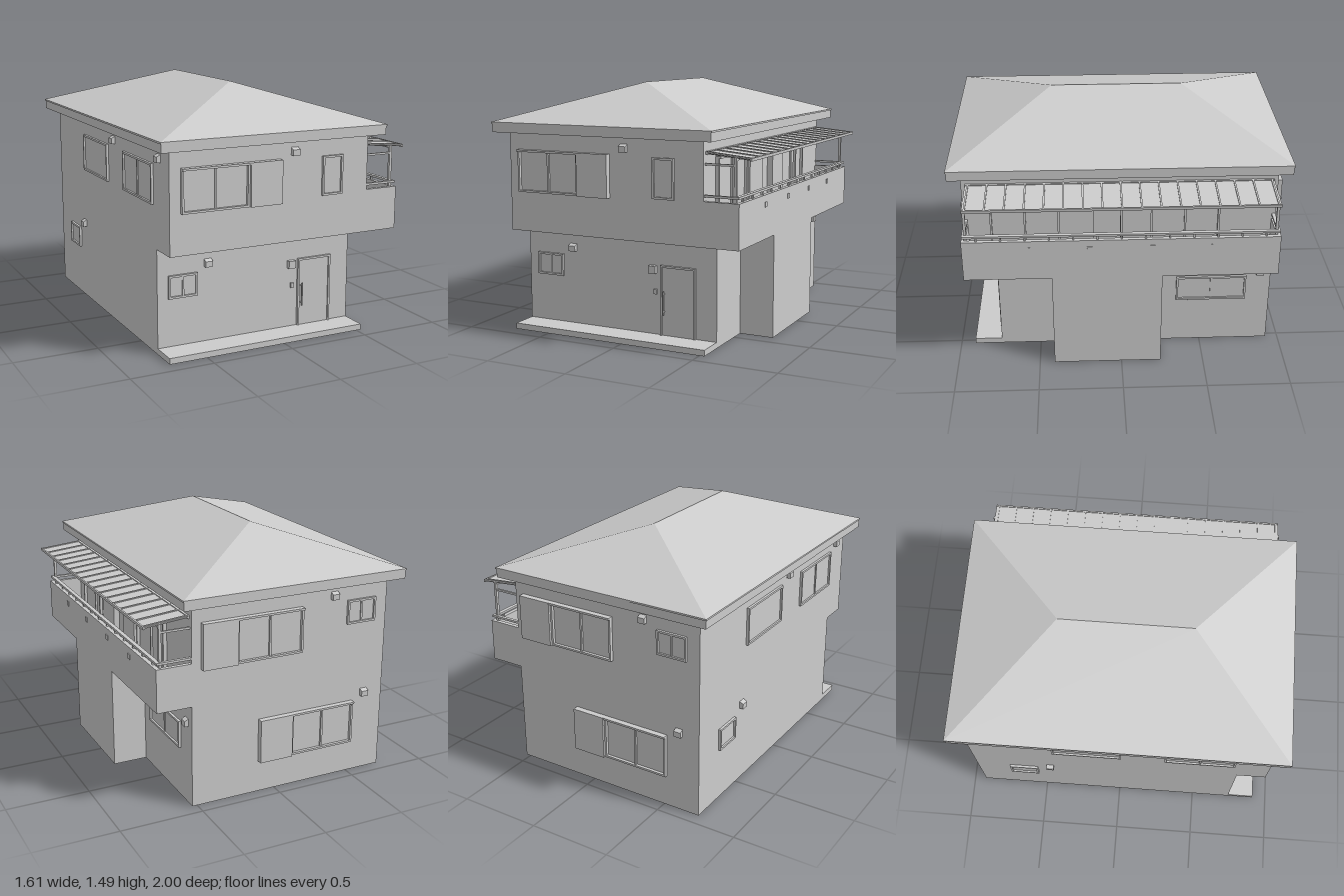
import * as THREE from 'three';

const material = new THREE.MeshStandardMaterial({ color: 0xcccccc, flatShading: true, side: THREE.DoubleSide });

function add(parent, name, geometry) {
  const mesh = new THREE.Mesh(geometry, material);
  mesh.name = name;
  parent.add(mesh);
  return mesh;
}

// Box given by its limits on each axis
function block(parent, name, x0, x1, y0, y1, z0, z1) {
  const mesh = add(parent, name, new THREE.BoxGeometry(x1 - x0, y1 - y0, z1 - z0));
  mesh.position.set((x0 + x1) / 2, (y0 + y1) / 2, (z0 + z1) / 2);
  return mesh;
}

// Group whose local x runs along a wall and whose local z points outward
function wallSide(parent, name, angle, distance) {
  const side = new THREE.Group();
  side.name = name;
  side.rotation.y = angle;
  side.position.set(Math.sin(angle) * distance, 0, Math.cos(angle) * distance);
  parent.add(side);
  return side;
}

// Framed window with evenly spaced panes
function windowUnit(side, x0, x1, y0, y1, panes = 2, depth = 0.015) {
  const g = new THREE.Group();
  g.name = 'window';
  side.add(g);
  const t = 0.012;
  block(g, 'glass', x0, x1, y0, y1, -0.005, 0.004);
  block(g, 'sill', x0, x1, y0, y0 + t, 0, depth);
  block(g, 'lintel', x0, x1, y1 - t, y1, 0, depth);
  for (const x of [x0, x1 - t]) block(g, 'jamb', x, x + t, y0, y1, 0, depth);
  for (let i = 1; i < panes; i++) {
    const x = x0 + (x1 - x0) * i / panes;
    block(g, 'mullion', x - 0.006, x + 0.006, y0, y1, 0, depth * 0.7);
  }
}

// Sliding window with a storm shutter box beside it
function shutterWindow(side, x0, x1, s0, s1, y0, y1) {
  windowUnit(side, x0, x1, y0, y1, 2, 0.022);
  block(side, 'shutterBox', s0, s1, y0, y1, -0.005, 0.036);
  block(side, 'shutterLintel', x0, x1, y1 - 0.012, y1, 0, 0.034);
}

// Vent hood with a sloping top
function vent(side, x, y) {
  const shape = new THREE.Shape();
  shape.moveTo(0, 0);
  shape.lineTo(0.024, 0);
  shape.lineTo(0.024, 0.033);
  shape.lineTo(0, 0.045);
  const geo = new THREE.ExtrudeGeometry(shape, { depth: 0.045, bevelEnabled: false });
  geo.rotateY(-Math.PI / 2);
  const mesh = add(side, 'ventHood', geo);
  mesh.position.set(x + 0.0225, y, 0);
}

// Hipped roof: eave edge, four slopes and a ridge
function hipRoof(parent) {
  const low = 1.25, y = 1.26, top = 1.485;
  const corners = [[-0.81, 1], [0.61, 1], [0.61, -1], [-0.81, -1]];
  const front = [-0.1, top, 0.4], back = [-0.1, top, -0.4];
  const pos = [];
  const tri = (...p) => p.forEach(v => pos.push(...v));
  const quad = (a, b, c, d) => tri(a, b, c, a, c, d);
  const [a, b, c, d] = corners.map(([x, z]) => [x, y, z]);
  tri(a, b, front);
  quad(b, c, back, front);
  tri(c, d, back);
  quad(d, a, front, back);
  const rim = corners.map(([x, z]) => [x, low, z]);
  [a, b, c, d].forEach((p, i, all) => {
    const j = (i + 1) % 4;
    quad(rim[i], rim[j], all[j], p);
  });
  quad(rim[3], rim[2], rim[1], rim[0]);
  const geo = new THREE.BufferGeometry();
  geo.setAttribute('position', new THREE.Float32BufferAttribute(pos, 3));
  geo.computeVertexNormals();
  add(parent, 'roof', geo);
}

export function createModel() {
  const house = new THREE.Group();
  house.name = 'house';
  const L = -0.73, R = 0.53, F = 0.925, B = -0.925, P = 0.74, lowF = 0.745;

  // Walls, foundation and entrance slab
  block(house, 'foundation', L, R, 0, 0.075, B, lowF);
  block(house, 'lowerWalls', L, R, 0.075, 0.615, B, lowF);
  block(house, 'upperWalls', L, R, 0.615, 1.235, B, F);
  block(house, 'sideBayFoundation', R, P, 0, 0.075, -0.24, 0.41);
  block(house, 'sideBay', R, P, 0.075, 0.615, -0.24, 0.41);
  block(house, 'entranceSlab', L, R, 0, 0.035, lowF, 0.91);

  // Roof with fascia boards and soffit
  hipRoof(house);
  block(house, 'soffit', -0.8, 0.6, 1.225, 1.25, -0.99, 0.99);
  for (const x of [-0.805, 0.585]) block(house, 'fascia', x, x + 0.02, 1.2, 1.25, -0.995, 0.995);
  for (const z of [-0.995, 0.975]) block(house, 'fascia', -0.805, 0.605, 1.2, 1.25, z, z + 0.02);

  // Front, upper floor
  const frontUpper = wallSide(house, 'frontUpper', 0, F);
  shutterWindow(frontUpper, -0.665, -0.255, -0.255, -0.055, 0.85, 1.1);
  windowUnit(frontUpper, 0.22, 0.355, 0.865, 1.095, 1);
  vent(frontUpper, 0.038, 1.115);

  // Front, ground floor with entrance
  const frontLower = wallSide(house, 'frontLower', 0, lowF);
  windowUnit(frontLower, -0.665, -0.485, 0.32, 0.455);
  vent(frontLower, -0.417, 0.48);
  block(frontLower, 'doorPanel', 0.175, 0.4, 0.035, 0.45, 0, 0.006);
  for (const x of [0.175, 0.388]) block(frontLower, 'doorJamb', x, x + 0.012, 0.035, 0.45, 0, 0.015);
  block(frontLower, 'doorHead', 0.175, 0.4, 0.438, 0.45, 0, 0.015);
  block(frontLower, 'doorHandle', 0.195, 0.203, 0.16, 0.3, 0.02, 0.028);
  for (const y of [0.175, 0.28]) block(frontLower, 'handleMount', 0.196, 0.202, y, y + 0.006, 0, 0.022);
  block(frontLower, 'porchLamp', 0.105, 0.15, 0.4, 0.445, 0, 0.028);
  block(frontLower, 'intercom', 0.13, 0.15, 0.275, 0.305, 0, 0.01);

  // Back wall (local x is mirrored)
  const back = wallSide(house, 'backWall', Math.PI, -B);
  shutterWindow(back, -0.26, 0.16, -0.475, -0.26, 0.83, 1.1);
  shutterWindow(back, 0.1, 0.52, -0.11, 0.1, 0.195, 0.46);
  windowUnit(back, 0.46, 0.65, 0.95, 1.095);
  vent(back, 0.37, 1.115);
  vent(back, 0.6, 0.48);

  // Wall opposite the balcony (local x follows z)
  const plain = wallSide(house, 'plainSideWall', -Math.PI / 2, -L);
  windowUnit(plain, -0.41, 0.015, 0.865, 1.095, 1);
  windowUnit(plain, 0.28, 0.71, 0.865, 1.095);
  windowUnit(plain, -0.71, -0.53, 0.32, 0.455, 1);
  vent(plain, 0.11, 1.115);
  vent(plain, 0.79, 1.115);
  vent(plain, -0.445, 0.48);

  // Balcony side wall (local x runs against z)
  const balconyWall = wallSide(house, 'balconySideWall', Math.PI / 2, R);
  shutterWindow(balconyWall, -0.77, -0.36, -0.36, -0.16, 0.66, 1.1);
  shutterWindow(balconyWall, 0.18, 0.59, 0, 0.18, 0.66, 1.1);
  windowUnit(balconyWall, 0.345, 0.775, 0.305, 0.47);
  vent(balconyWall, 0.857, 0.48);

  // Balcony floor, parapet and drains
  const balcony = new THREE.Group();
  balcony.name = 'balcony';
  house.add(balcony);
  block(balcony, 'balconyFloor', R, P, 0.615, 0.66, B, F);
  block(balcony, 'parapet', P - 0.025, P, 0.615, 0.87, B, F);
  for (const z of [B, F - 0.025]) block(balcony, 'parapetEnd', R, P, 0.615, 0.87, z, z + 0.025);
  for (const z of [0.545, 0.185, -0.18, -0.535]) {
    block(balcony, 'drain', P, P + 0.004, 0.8, 0.83, z - 0.015, z + 0.015);
  }

  // Handrail on short posts
  block(balcony, 'handrail', 0.71, 0.735, 0.892, 0.905, -0.92, 0.92);
  for (const z of [-0.92, 0.9]) block(balcony, 'endHandrail', R, 0.735, 0.892, 0.905, z, z + 0.02);
  for (let i = -6; i <= 6; i++) {
    block(balcony, 'railPost', 0.716, 0.728, 0.87, 0.895, i * 0.14 - 0.005, i * 0.14 + 0.005);
  }

  // Canopy posts and beams
  for (const z of [-0.9, 0, 0.9]) {
    block(balcony, 'canopyPost', 0.7, 0.716, 0.87, 1.118, z - 0.008, z + 0.008);
  }
  for (const z of [-0.9, 0.9]) block(balcony, 'endBeam', R, 0.716, 1.065, 1.077, z - 0.006, z + 0.006);
  block(balcony, 'canopyBeam', 0.698, 0.718, 1.1, 1.116, -0.9, 0.9);

  // Sloping canopy: sheet, edge frame and ribs
  const canopy = new THREE.Group();
  canopy.name = 'canopy';
  canopy.position.set(R, 1.135, 0);
  canopy.rotation.z = -0.092;
  balcony.add(canopy);
  block(canopy, 'canopySheet', 0, 0.272, -0.006, 0, -0.9, 0.9);
  block(canopy, 'canopyGutter', 0.262, 0.272, -0.012, 0.005, -0.9, 0.9);
  block(canopy, 'wallBatten', 0, 0.012, -0.012, 0.005, -0.9, 0.9);
  for (let i = -8; i <= 8; i++) {
    const z = i * 0.1105;
    block(canopy, 'canopyRib', 0, 0.265, -0.01, 0.006, z - 0.005, z + 0.005);
  }

  // Centre the footprint on the origin
  return house;
}
